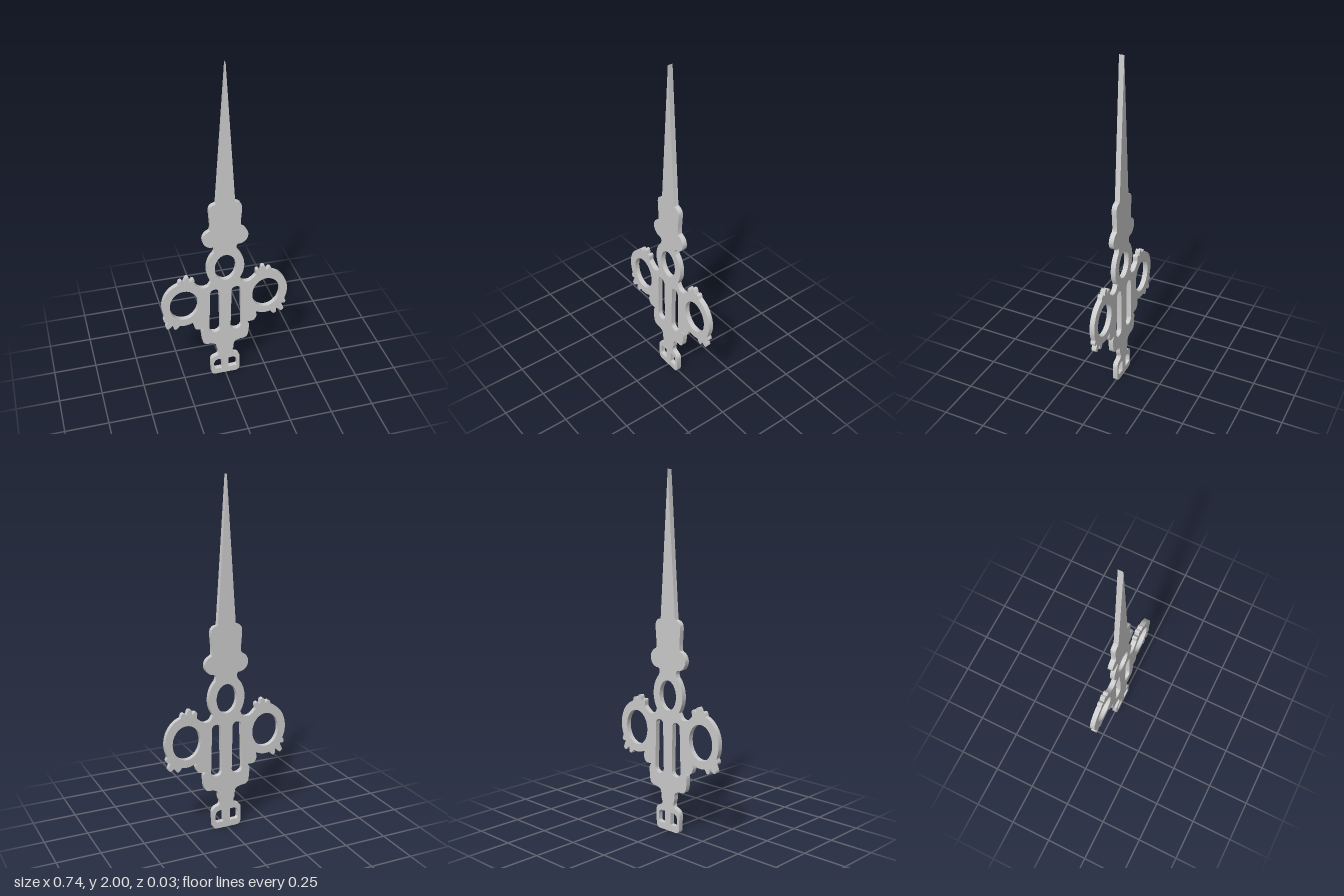
import * as THREE from 'three';
import { toCreasedNormals } from 'three/addons/utils/BufferGeometryUtils.js';

const DEPTH = 0.029;
const v = (x, y) => new THREE.Vector2(x, y);

// smooth run through a few points
const smooth = (...pts) => new THREE.SplineCurve(pts.map((p) => v(...p))).getPoints((pts.length - 1) * 5);

// part of an ellipse, angles in degrees; swell(angle) scales the radius
function arc(cx, cy, rx, ry, from, to, n = 16, swell = () => 1) {
  return Array.from({ length: n + 1 }, (_, i) => {
    const deg = from + ((to - from) * i) / n;
    const a = THREE.MathUtils.degToRad(deg), k = swell(deg);
    return v(cx + k * rx * Math.cos(a), cy + k * ry * Math.sin(a));
  });
}

// teeth on the rim of the side ring: angle, height and half width of each
const TEETH = [[112, 0.22, 5.5], [98, 0.27, 6.5], [83, 0.15, 6], [-35, 0.14, 5.5], [-51, 0.31, 6.5], [-68, 0.2, 6.5]];
const toothSwell = (deg) =>
  TEETH.reduce((k, [at, height, width]) => k + height * Math.exp(-(((deg - at) / width) ** 4)), 1);

// right half of the outline, from the tip down to the foot
function halfOutline() {
  return [
    // blade
    v(0, 2), v(0.053, 1.21),
    // shoulder
    ...smooth([0.056, 1.202], [0.078, 1.194], [0.092, 1.165], [0.086, 1.07], [0.088, 1.038]),
    // collar lobe and neck
    ...arc(0.077, 0.982, 0.053, 0.054, 70, -95),
    ...smooth([0.065, 0.922], [0.062, 0.908], [0.067, 0.89]),
    // centre ring
    ...arc(0, 0.782, 0.109, 0.135, 50, -40),
    // web between the rings
    ...smooth([0.088, 0.685], [0.105, 0.663], [0.14, 0.66], [0.174, 0.686]),
    // toothed side ring
    ...arc(0.243, 0.562, 0.127, 0.149, 120, -115, 150, toothSwell),
    // step under the side ring
    ...smooth([0.184, 0.424], [0.188, 0.398], [0.172, 0.368], [0.132, 0.366]),
    // lower body, curving in to the waist
    ...smooth([0.134, 0.36], [0.143, 0.34], [0.137, 0.27], [0.118, 0.247], [0.085, 0.243],
      [0.055, 0.228], [0.049, 0.185], [0.042, 0.165], [0.046, 0.147], [0.062, 0.139]),
    // foot
    ...arc(0.06, 0.105, 0.029, 0.033, 80, 0, 8),
    ...arc(0.062, 0.025, 0.025, 0.025, 0, -90, 8),
  ];
}

export function createModel() {
  const model = new THREE.Group();

  // counter-clockwise outline, so that the extrusion also orients the holes
  const right = halfOutline();
  const left = right.slice(1).reverse().map((p) => v(-p.x, p.y));
  const shape = new THREE.Shape([...right, ...left].reverse());

  // centre eye
  shape.holes.push(new THREE.Path(arc(0, 0.78, 0.062, 0.085, 0, 348.75, 31)));
  // side ring opening
  const opening = arc(0.243, 0.558, 0.083, 0.1, 0, 348.75, 31);
  // long slot
  const slot = [...arc(0.063, 0.612, 0.027, 0.025, 180, 0), ...arc(0.064, 0.355, 0.033, 0.03, 0, -180)];
  // foot window
  const foot = [
    v(0.02, 0.11), ...arc(0.04, 0.08, 0.031, 0.031, 90, 0, 8),
    ...arc(0.059, 0.05, 0.012, 0.012, 0, -90, 6), v(0.02, 0.038),
  ];
  for (const hole of [opening, slot, foot]) {
    shape.holes.push(new THREE.Path(hole), new THREE.Path(hole.map((p) => v(-p.x, p.y))));
  }

  const plate = new THREE.ExtrudeGeometry(shape, { depth: DEPTH, bevelEnabled: false });
  plate.translate(0, 0, -DEPTH / 2);
  const hand = new THREE.Mesh(
    toCreasedNormals(plate, 0.6),
    new THREE.MeshStandardMaterial({ color: 0xcccccc })
  );
  hand.name = 'ornateClockHand';
  model.add(hand);
  return model;
}
